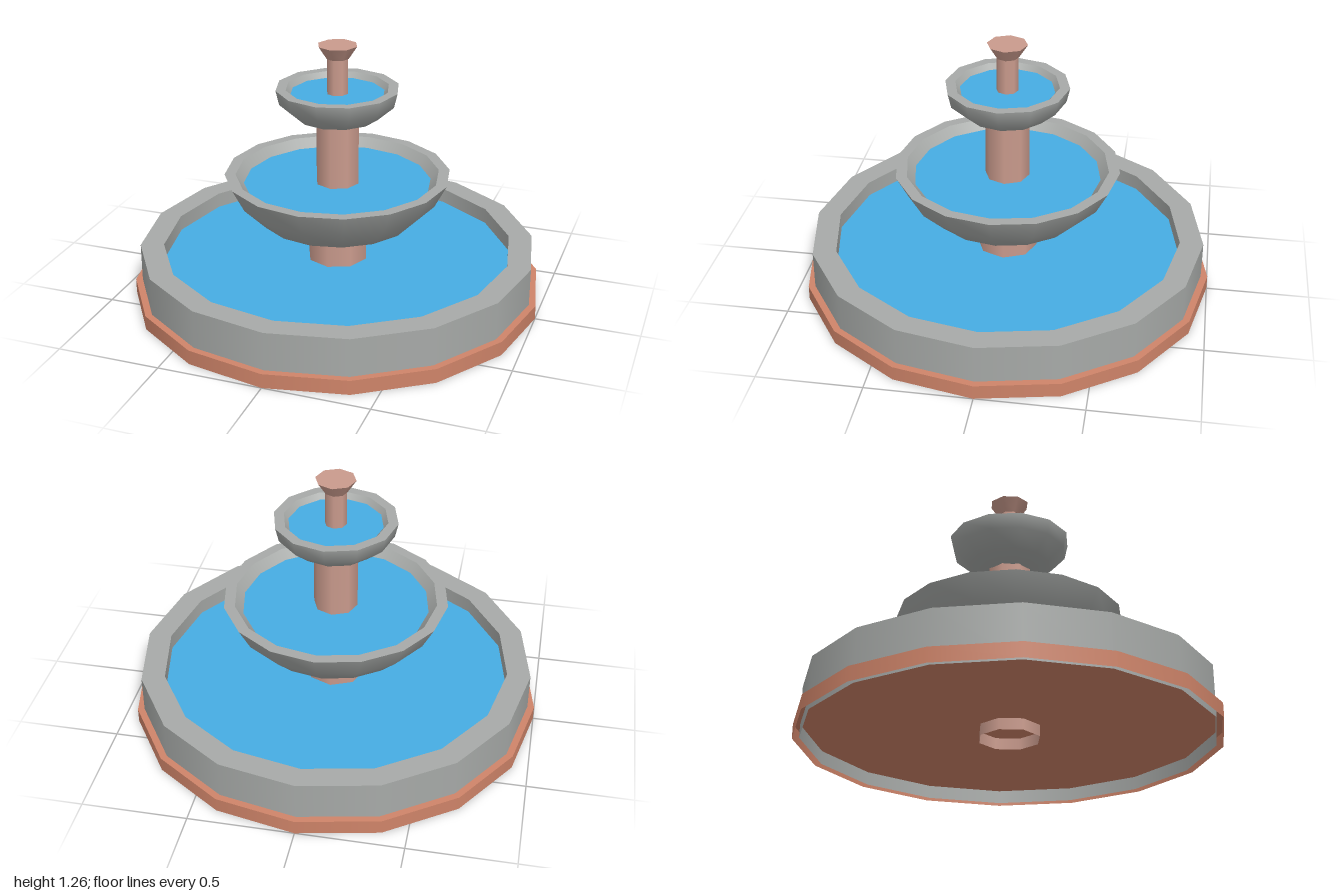
import * as THREE from 'three';
import { mergeGeometries } from 'three/addons/utils/BufferGeometryUtils.js';

const material = (name, color) =>
  new THREE.MeshStandardMaterial({ name, color, side: THREE.DoubleSide });

// Revolves each profile on its own, so the joints between them stay sharp.
function revolve(profiles, sides) {
  return mergeGeometries(profiles.map((points) =>
    new THREE.LatheGeometry(points.map(([r, y]) => new THREE.Vector2(r, y)), sides)));
}

export function createModel() {
  const model = new THREE.Group();
  model.name = 'tieredFountain';

  const stone = material('greyStone', 0xa7aaa8);
  const water = material('blueWater', 0x46ade3);
  const terracotta = material('terracotta', 0xcf8469);
  const pink = material('pinkStone', 0xca9b8d);

  const add = (name, geometry, mat) => {
    const mesh = new THREE.Mesh(geometry, mat);
    mesh.name = name;
    model.add(mesh);
  };

  // A stone bowl: outer wall, flat rim, inner wall, and the water surface
  const addBowl = (name, sides, outer, inner) => {
    const rim = [outer[outer.length - 1], inner[0]];
    add(name, revolve([outer, rim, inner], sides), stone);
    const [r, y] = inner[inner.length - 1];
    const surface = new THREE.CircleGeometry(r, sides).rotateX(-Math.PI / 2).translate(0, y, 0);
    add(name + 'Water', surface, water);
  };

  // Open-ended round column
  const addColumn = (name, r, y0, y1) =>
    add(name, revolve([[[r, y0], [r, y1]]], 8), pink);

  // Base plinth, hollow underneath
  add('basePlinth', revolve([
    [[1, 0], [1, 0.07]],
    [[1, 0.07], [0, 0.07]],
  ], 16), terracotta);

  // Three tiers
  addBowl('basin', 16,
    [[0.967, 0.005], [0.967, 0.256]],
    [[0.853, 0.256], [0.853, 0.18]]);
  addBowl('middleBowl', 16,
    [[0.14, 0.315], [0.38, 0.402], [0.487, 0.51], [0.545, 0.622]],
    [[0.492, 0.622], [0.453, 0.577]]);
  addBowl('topBowl', 12,
    [[0.1, 0.88], [0.2, 0.915], [0.279, 0.985], [0.295, 1.055]],
    [[0.247, 1.055], [0.226, 1.028]]);

  // Columns between the tiers
  addColumn('lowerColumn', 0.148, 0.015, 0.32);
  addColumn('middleColumn', 0.107, 0.34, 0.885);
  addColumn('topColumn', 0.052, 0.9, 1.205);

  // Flared spout with a flat top
  add('spout', revolve([
    [[0, 1.2], [0.055, 1.2]],
    [[0.055, 1.2], [0.096, 1.263]],
    [[0.096, 1.263], [0, 1.263]],
  ], 8), pink);

  return model;
}
